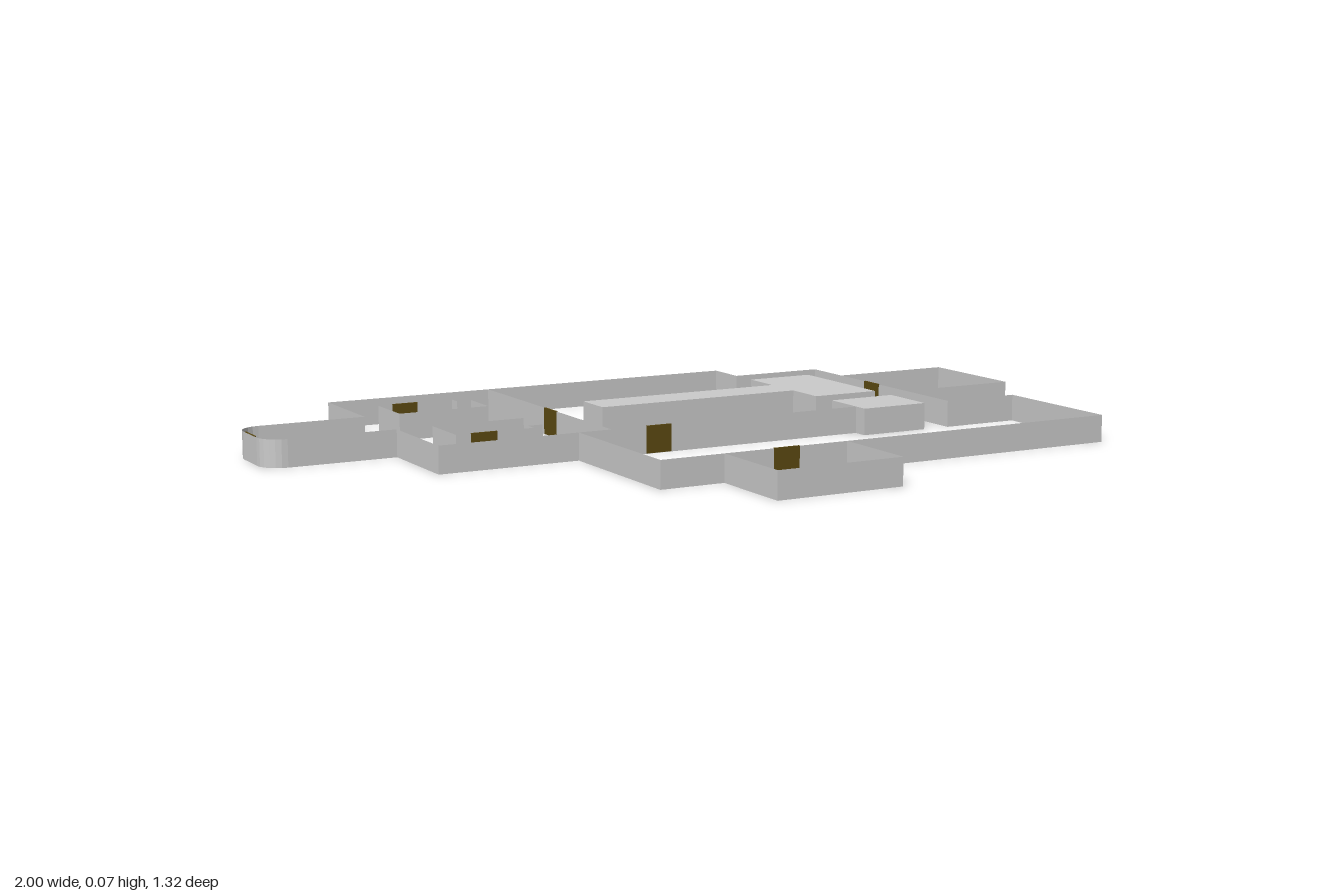
import * as THREE from 'three';

const H = 0.066; // wall height
const wallMat = new THREE.MeshStandardMaterial({ color: 0xcccccc, side: THREE.DoubleSide, flatShading: true });
const doorMat = new THREE.MeshStandardMaterial({ color: 0x5c4a12 });

// Thin upright wall following a floor path of [x, z] points
function wall(name, pts) {
  const pos = [];
  for (let i = 0; i < pts.length - 1; i++) {
    const [ax, az] = pts[i], [bx, bz] = pts[i + 1];
    pos.push(ax, 0, az, bx, 0, bz, bx, H, bz, ax, 0, az, bx, H, bz, ax, H, az);
  }
  const geo = new THREE.BufferGeometry();
  geo.setAttribute('position', new THREE.Float32BufferAttribute(pos, 3));
  geo.computeVertexNormals();
  const mesh = new THREE.Mesh(geo, wallMat);
  mesh.name = name;
  return mesh;
}

// Raised block: side walls with a lid, open underneath
function block(name, pts) {
  const group = new THREE.Group();
  group.name = name;
  const shape = new THREE.Shape(pts.map(([x, z]) => new THREE.Vector2(x, -z)));
  const lid = new THREE.Mesh(new THREE.ShapeGeometry(shape).rotateX(-Math.PI / 2), wallMat);
  lid.name = name + 'Lid';
  lid.position.y = H;
  group.add(wall(name + 'Sides', [...pts, pts[0]]), lid);
  return group;
}

// Door panel set in a wall
function door(name, x, z, alongX) {
  const w = 0.066, t = 0.004;
  const mesh = new THREE.Mesh(new THREE.BoxGeometry(alongX ? w : t, H, alongX ? t : w), doorMat);
  mesh.name = name;
  mesh.position.set(x, H / 2 + 0.001, z);
  return mesh;
}

// Corner arc in the floor plane
function arc(cx, cz, r, from, to, n = 6) {
  return Array.from({ length: n + 1 }, (_, i) => {
    const a = from + (to - from) * i / n;
    return [cx + r * Math.cos(a), cz + r * Math.sin(a)];
  });
}

export function createModel() {
  const model = new THREE.Group();
  model.name = 'floorPlan';

  // Outer walls, with the round-ended corridor on the right
  model.add(wall('outerWall', [
    [-0.33, 0.035], [-0.33, 0.43], [0.88, 0.43], [0.88, 0.073], [0.68, 0.073],
    [0.68, -0.55], [0.432, -0.55], [0.432, -0.66], [-0.68, -0.66], [-0.68, -0.413],
    ...arc(-0.945, -0.358, 0.055, Math.PI * 1.5, Math.PI),
    ...arc(-0.945, -0.265, 0.055, Math.PI, Math.PI / 2),
    [-0.68, -0.21], [-0.68, 0.035], [0.432, 0.035],
  ]));

  // Dividing wall and side rooms
  model.add(
    wall('partition', [[-0.245, -0.66], [-0.245, 0.035]]),
    wall('sideRoom', [[0.68, -0.418], [0.997, -0.418], [0.997, -0.113], [0.68, -0.113]]),
    wall('frontRoom', [[-0.17, 0.43], [-0.17, 0.655], [0.15, 0.655], [0.15, 0.43]]),
  );

  // Two mirrored inner rooms and the short wall that joins them
  const mid = -0.312;
  for (const s of [-1, 1]) {
    model.add(wall(s < 0 ? 'innerRoomBack' : 'innerRoomFront', [
      [-0.355, 0.102], [-0.59, 0.102], [-0.59, 0.239], [-0.393, 0.239],
      [-0.393, 0.207], [-0.355, 0.207], [-0.355, 0.102],
    ].map(([x, d]) => [x, mid + s * d])));
    model.add(door('innerDoor', -0.52, mid + s * 0.239, true));
  }
  model.add(wall('innerLink', [[-0.355, mid - 0.102], [-0.355, mid + 0.102]]));

  // Solid counters
  model.add(
    block('longCounter', [
      [-0.118, -0.26], [0.432, -0.26], [0.432, -0.15], [0.61, -0.15],
      [0.61, -0.473], [0.432, -0.473], [0.432, -0.365], [-0.118, -0.365],
    ]),
    block('smallCounter', [[0.432, 0.073], [0.61, 0.073], [0.61, -0.075], [0.432, -0.075]]),
  );

  // Doors
  model.add(
    door('corridorDoor', -0.998, mid, false),
    door('partitionDoor', -0.245, -0.29, false),
    door('sideDoor', 0.68, -0.27, false),
    door('hallDoor', -0.12, 0.035, true),
    door('frontDoor', -0.01, 0.43, true),
  );
  return model;
}
